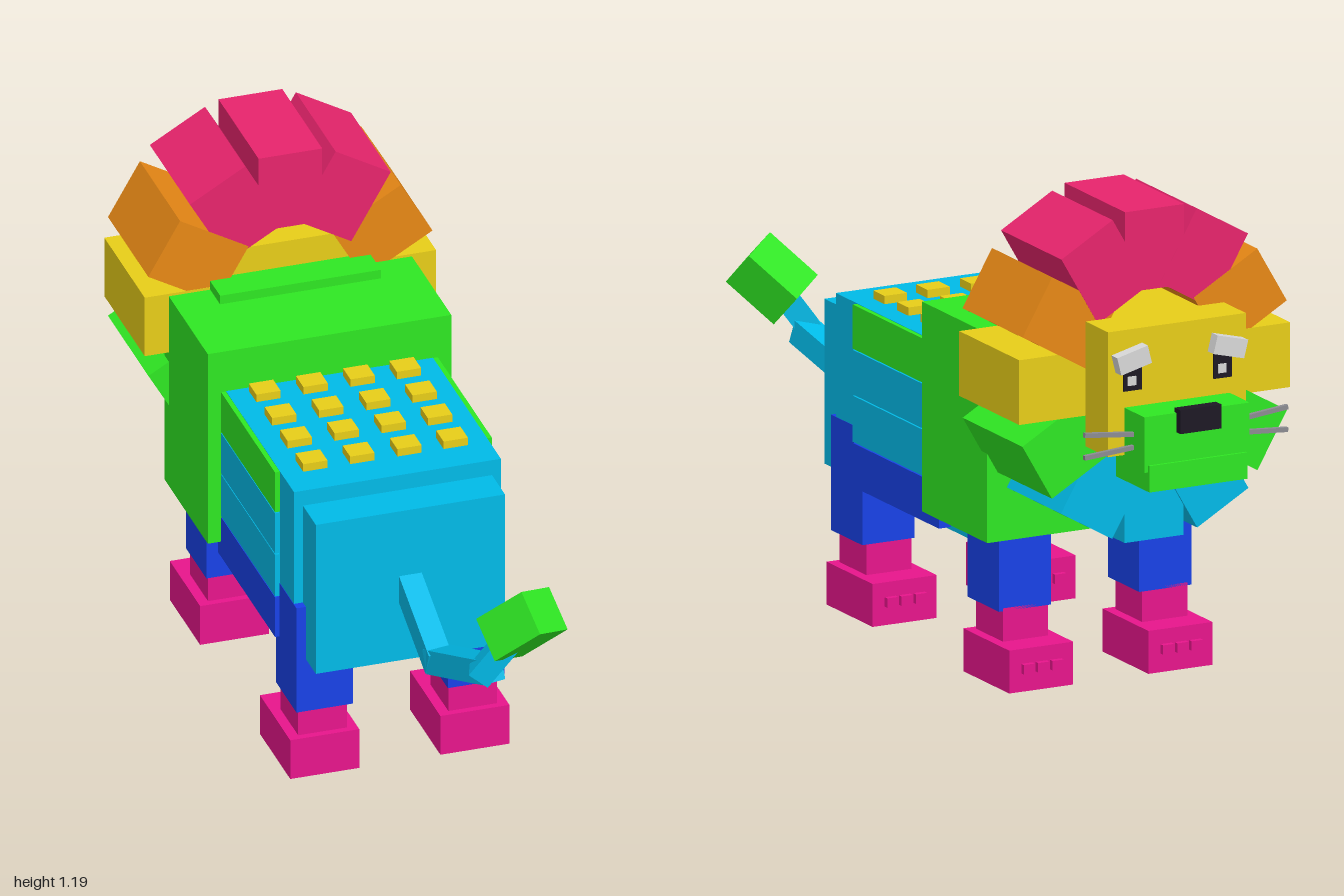
import * as THREE from 'three';

const mat = (name, color) => Object.assign(new THREE.MeshStandardMaterial({ color }), { name });
const green = mat('green', 0x30eb24), cyan = mat('cyan', 0x00bdeb), blue = mat('blue', 0x1841e7);
const yellow = mat('yellow', 0xe7cd18), orange = mat('orange', 0xe78815), crimson = mat('crimson', 0xe7246c);
const magenta = mat('magenta', 0xea158d), grey = mat('light grey', 0xd8d8d8), black = mat('black', 0x1c1824);
const whisker = mat('whisker grey', 0x8c8c92);

export function createModel() {
  const model = new THREE.Group();
  model.name = 'blockLion';

  // box given by its limits on each axis
  const box = (name, m, [x0, x1], [y0, y1], [z0, z1], parent = model) => {
    const mesh = new THREE.Mesh(new THREE.BoxGeometry(x1 - x0, y1 - y0, z1 - z0), m);
    mesh.position.set((x0 + x1) / 2, (y0 + y1) / 2, (z0 + z1) / 2);
    mesh.name = name;
    parent.add(mesh);
    return mesh;
  };
  // square bar running between two points, rolled so its top faces up
  const bar = (name, m, a, b, width, height = width, up = [0, 1, 0]) => {
    const p = new THREE.Vector3(...a), q = new THREE.Vector3(...b);
    const mesh = new THREE.Mesh(new THREE.BoxGeometry(width, height, p.distanceTo(q)), m);
    mesh.position.copy(p).lerp(q, 0.5);
    mesh.up.set(...up);
    mesh.lookAt(q);
    mesh.name = name;
    model.add(mesh);
  };

  // body core, rump and shoulders
  box('body', cyan, [-0.255, 0.255], [0.325, 0.758], [-0.2, 0.33]);
  box('rump', cyan, [-0.233, 0.233], [0.318, 0.718], [0.3, 0.427]);
  box('shoulders', green, [-0.3, 0.3], [0.356, 0.865], [-0.5, -0.178]);
  box('shoulderPlate', green, [-0.198, 0.198], [0.85, 0.888], [-0.48, -0.395]);
  box('bellyFrame', cyan, [-0.235, 0.235], [0.308, 0.362], [-0.32, 0.22]);
  box('bellyPanel', blue, [-0.2, 0.2], [0.303, 0.31], [-0.31, 0.19]);

  // side planks
  const planks = [[0.65, 0.757, green], [0.539, 0.647, cyan], [0.424, 0.536, cyan], [0.315, 0.421, blue]];
  for (const s of [-1, 1])
    for (const [y0, y1, m] of planks)
      box('sidePlank', m, s > 0 ? [0.22, 0.267] : [-0.267, -0.22], [y0, y1], [-0.2, 0.225]);

  // studs on the back
  for (const x of [-0.174, -0.058, 0.058, 0.172])
    for (const z of [-0.134, -0.016, 0.099, 0.216])
      box('backStud', yellow, [x - 0.03, x + 0.03], [0.75, 0.778], [z - 0.028, z + 0.028]);

  // legs, feet and toes
  for (const s of [-1, 1])
    for (const [name, z] of [['rear', 0.198], ['front', -0.476]]) {
      const leg = new THREE.Group();
      leg.name = name + 'Leg';
      model.add(leg);
      const span = (a, b) => (s > 0 ? [a, b] : [-b, -a]);
      box('thigh', blue, span(0.117, 0.256), [0.178, name === 'rear' ? 0.458 : 0.4], [z, z + 0.154], leg);
      box('shin', magenta, span(0.125, 0.245), [0.1, 0.185], [z, z + 0.133], leg);
      box('foot', magenta, span(0.1, 0.27), [0, 0.104], [z - 0.077, z + 0.15], leg);
      for (const t of [-0.038, 0, 0.038])
        box('toe', magenta, span(0.17 + t, 0.2 + t), [0.045, 0.068], [z - 0.09, z - 0.07], leg);
    }

  // mane: a ring of twelve blocks, each slightly shallower than the last
  const maneColors = [crimson, crimson, orange, yellow, green, cyan, cyan];
  for (let i = -5; i <= 6; i++) {
    const a = i * Math.PI / 6;
    const block = new THREE.Mesh(new THREE.BoxGeometry(0.157, 0.195, 0.299 - i * 0.001), maneColors[Math.abs(i)]);
    block.position.set(0.262 * Math.sin(a), 0.793 + 0.304 * Math.cos(a), -0.62);
    block.rotation.z = -a;
    block.name = 'maneBlock';
    model.add(block);
  }

  // head, muzzle and nose
  box('head', yellow, [-0.183, 0.183], [0.64, 0.943], [-0.879, -0.502]);
  box('muzzle', green, [-0.14, 0.14], [0.62, 0.755], [-0.978, -0.87]);
  box('chin', green, [-0.13, 0.13], [0.573, 0.637], [-0.985, -0.82]);
  box('nose', black, [-0.055, 0.055], [0.708, 0.766], [-0.998, -0.97]);

  // eyes, brows and whiskers
  for (const s of [-1, 1]) {
    const x = s * 0.12;
    box('eye', black, [x - 0.024, x + 0.024], [0.795, 0.86], [-0.884, -0.877]);
    box('eyeGlint', grey, [x - 0.008, x + 0.014], [0.808, 0.83], [-0.887, -0.882]);
    const brow = box('brow', grey, [s * 0.128 - 0.042, s * 0.128 + 0.042], [0.852, 0.897], [-0.908, -0.87]);
    brow.rotation.z = -s * 0.25;
    bar('whisker', whisker, [s * 0.13, 0.7, -0.922], [s * 0.27, 0.715, -0.922], 0.011);
    bar('whisker', whisker, [s * 0.13, 0.67, -0.922], [s * 0.27, 0.66, -0.922], 0.011);
  }

  // tail and tuft
  bar('tailBase', cyan, [0, 0.52, 0.4], [0, 0.418, 0.637], 0.056, 0.066);
  bar('tailMiddle', cyan, [0, 0.418, 0.615], [0.055, 0.515, 0.87], 0.06, 0.06);
  bar('tailEnd', cyan, [0.025, 0.5, 0.862], [0.1, 0.61, 0.89], 0.055);
  bar('tailTuft', green, [0.0765, 0.592, 0.859], [0.1635, 0.689, 0.934], 0.11, 0.11, [0.793, -0.302, -0.53]);
  return model;
}
